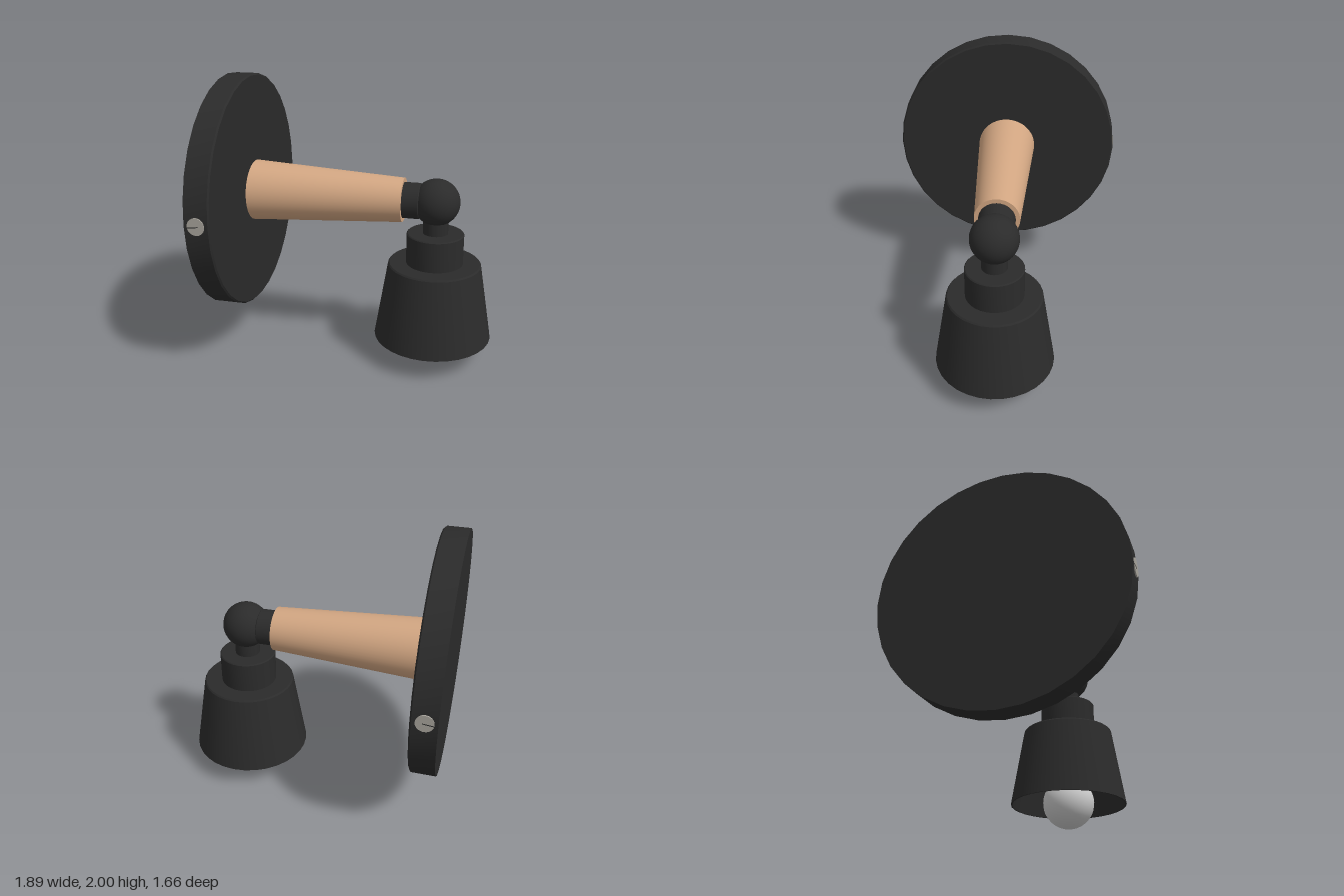
import * as THREE from 'three';
import { toCreasedNormals } from 'three/addons/utils/BufferGeometryUtils.js';

const paint = (color) => new THREE.MeshStandardMaterial({ color });
const black = paint(0x2b2b2b);
const wood = paint(0xd2a682);
const metal = paint(0xa8a49c);
const glass = paint(0xcccccc);

const AXIS_Y = 1.175; // height of the arm
const LAMP_X = 0.525; // centre of the shade

export function createModel() {
  const model = new THREE.Group();

  const add = (name, geometry, material, x, y, z = 0) => {
    const mesh = new THREE.Mesh(geometry, material);
    mesh.name = name;
    mesh.position.set(x, y, z);
    model.add(mesh);
    return mesh;
  };

  // Turned part with crisp profile edges; profile is [radius, height] from bottom to top
  const turned = (profile, segments = 32) => toCreasedNormals(
    new THREE.LatheGeometry(profile.map(([r, h]) => new THREE.Vector2(r, h)), segments), 0.5);

  // Parts turned around the horizontal arm axis
  const addHorizontal = (name, profile, material, segments) => {
    add(name, turned(profile, segments), material, 0, AXIS_Y).rotation.z = -Math.PI / 2;
  };

  addHorizontal('wallPlate',
    [[0, -0.95], [0.825, -0.95], [0.825, -0.79], [0.815, -0.78], [0, -0.78]], black);
  addHorizontal('woodenArm',
    [[0, -0.785], [0.215, -0.785], [0.154, 0.298], [0, 0.298]], wood, 48);
  addHorizontal('armCollar',
    [[0, 0.29], [0.125, 0.29], [0.125, 0.41], [0.115, 0.42], [0.115, 0.5], [0, 0.5]], black);

  // Swivel joint
  add('jointBall', new THREE.SphereGeometry(0.163, 32, 24), black, LAMP_X, AXIS_Y);
  add('neck', turned([[0, 0.94], [0.088, 0.94], [0.088, 1.1], [0, 1.1]]), black, LAMP_X, 0);

  // Lamp holder and open shade
  add('lampHolder',
    turned([[0, 0.71], [0.2, 0.71], [0.2, 0.945], [0.193, 0.952], [0, 0.952]]), black, LAMP_X, 0);
  add('shade', turned([
    [0, 0.71], [0.31, 0.71], [0.408, 0.175], [0.418, 0.175],
    [0.327, 0.722], [0.318, 0.732], [0, 0.732],
  ]), black, LAMP_X, 0);

  // Bulb and its stem
  add('bulb', new THREE.SphereGeometry(0.185, 32, 24), glass, LAMP_X, 0.19);
  add('bulbStem', turned([[0.13, 0.3], [0.09, 0.42], [0.09, 0.72]]), glass, LAMP_X, 0);

  // Set screws on the front and back of the plate's edge
  for (const side of [1, -1]) {
    add('setScrew', new THREE.CylinderGeometry(0.058, 0.058, 0.04, 24), metal,
      -0.87, AXIS_Y, side * 0.808).rotation.x = Math.PI / 2;
    add('screwSlot', new THREE.BoxGeometry(0.07, 0.006, 0.004), black,
      -0.89, AXIS_Y - 0.005, side * 0.827).rotation.z = 0.12;
  }

  return model;
}
